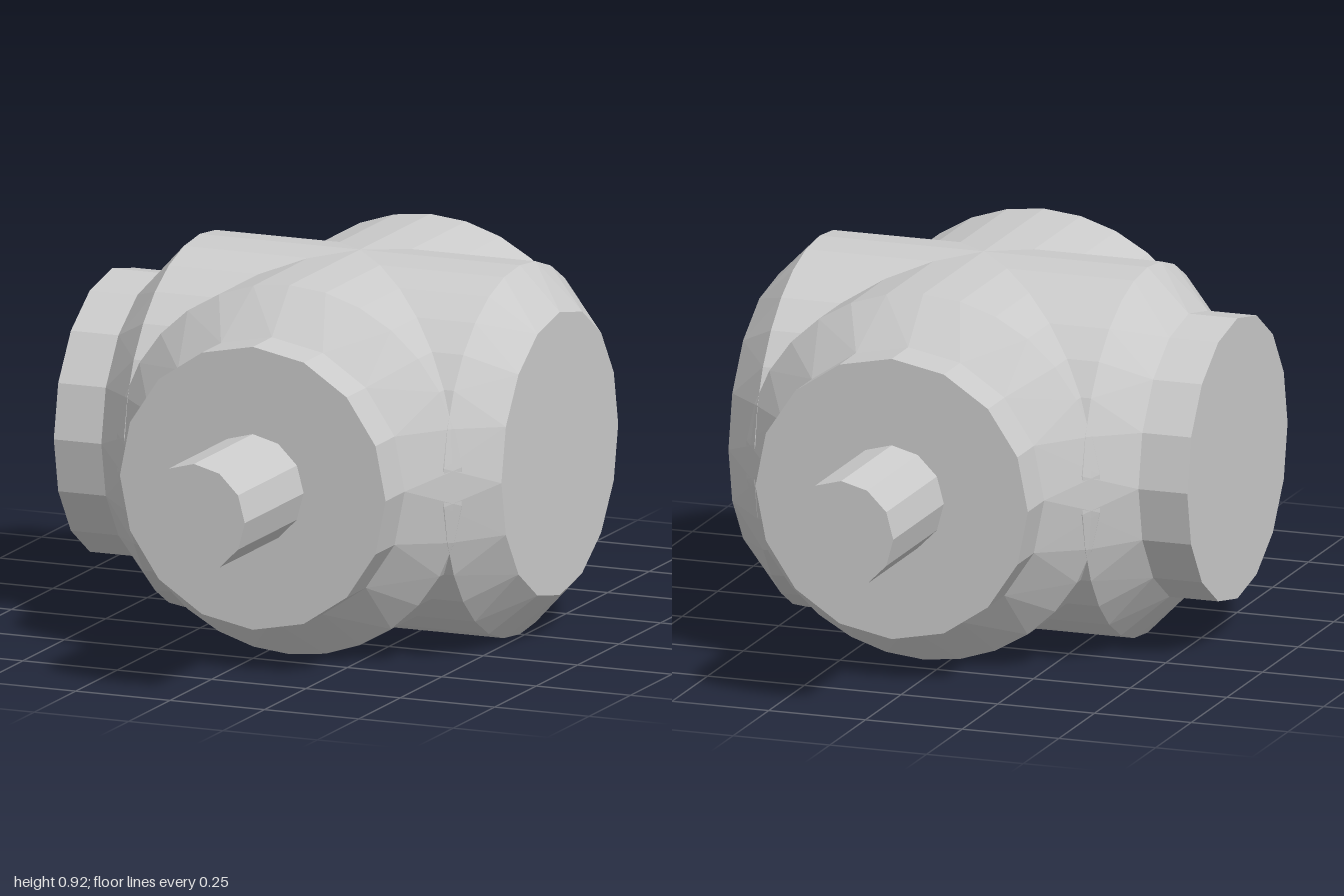
import * as THREE from 'three';
import { ConvexGeometry } from 'three/addons/geometries/ConvexGeometry.js';

const material = new THREE.MeshStandardMaterial({ color: 0xcccccc, flatShading: true });
const CENTRE = new THREE.Vector3(0.063, 0.463, 0);

// Ring of points around the z axis, first point at the top
function ring(radius, sides, z) {
  return Array.from({ length: sides }, (_, i) => {
    const a = (i / sides) * Math.PI * 2;
    return new THREE.Vector3(Math.sin(a) * radius, Math.cos(a) * radius, z);
  });
}

function part(name, geometry) {
  const mesh = new THREE.Mesh(geometry, material);
  mesh.name = name;
  return mesh;
}

// Drum along z: fine-sided barrel with chamfers down to coarser 16-sided ends
function drum(name) {
  return part(name, new ConvexGeometry([
    ...ring(0.352, 16, -0.53), ...ring(0.459, 30, -0.424),
    ...ring(0.459, 30, 0.424), ...ring(0.352, 16, 0.53),
  ]));
}

// Cylinder along z between two depths
function rod(name, radius, sides, z0, z1) {
  const geometry = new THREE.CylinderGeometry(radius, radius, z1 - z0, sides);
  geometry.rotateX(Math.PI / 2);
  geometry.translate(0, 0, (z0 + z1) / 2);
  return part(name, geometry);
}

export function createModel() {
  const model = new THREE.Group();
  model.name = 'crossHousing';

  // Front-to-back drum with a collar and shaft at each end
  const longitudinal = new THREE.Group();
  longitudinal.name = 'shaftHousing';
  longitudinal.add(drum('shaftDrum'));
  for (const [side, turn] of [['front', 0], ['back', Math.PI]]) {
    const end = new THREE.Group();
    end.name = side + 'End';
    end.add(rod(side + 'Collar', 0.352, 16, 0.5, 0.645));
    end.add(rod(side + 'Shaft', 0.135, 12, 0.62, 1));
    end.rotation.y = turn;
    longitudinal.add(end);
  }

  // Cross drum: collar on the right side only, plain chamfered end on the left
  const transverse = new THREE.Group();
  transverse.name = 'crossDrumHousing';
  transverse.add(drum('crossDrum'), rod('rightCollar', 0.352, 16, 0.5, 0.656));
  transverse.rotation.y = -Math.PI / 2;

  for (const body of [longitudinal, transverse]) {
    body.position.copy(CENTRE);
    model.add(body);
  }
  return model;
}
